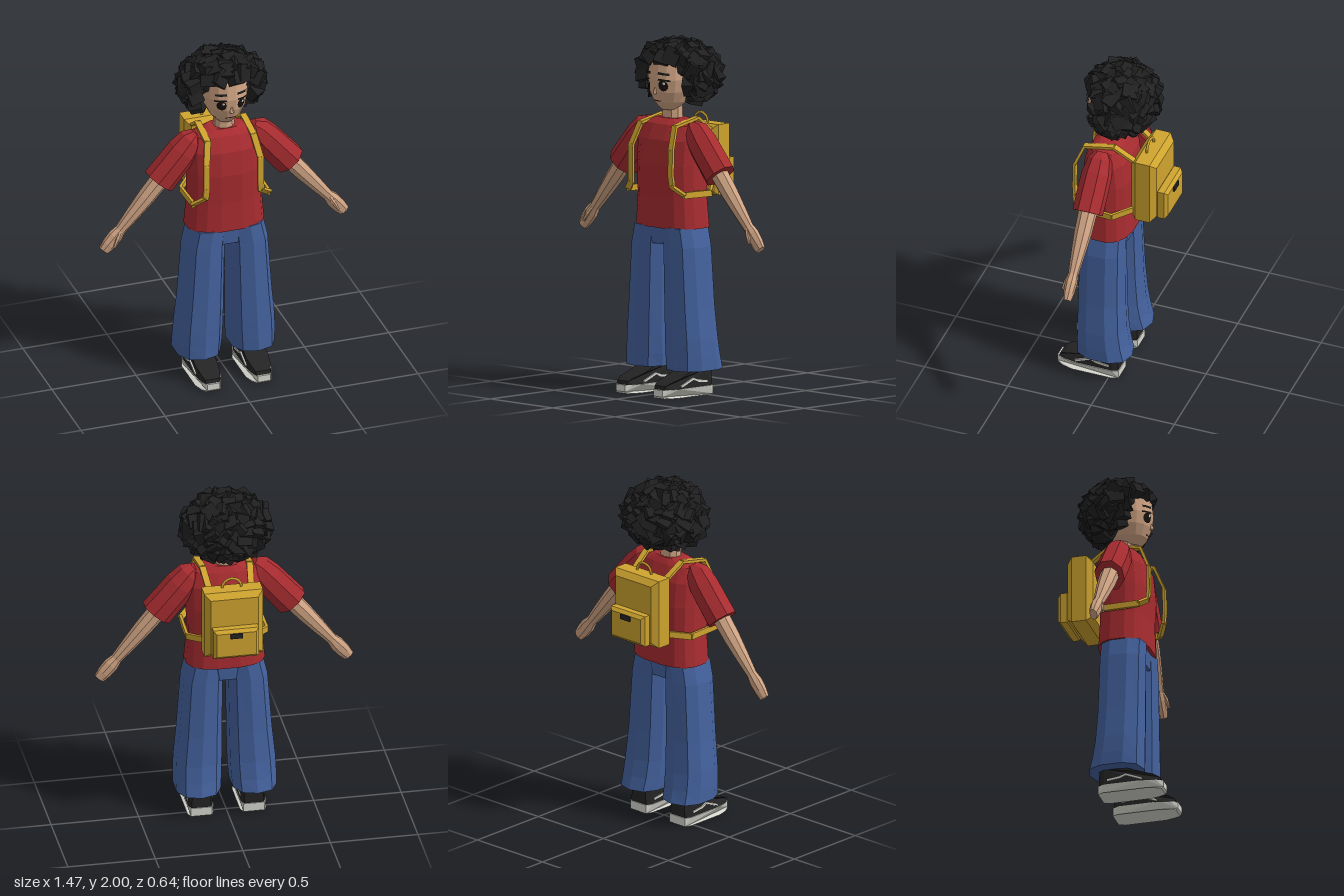
import * as THREE from 'three';
import { mergeGeometries } from 'three/addons/utils/BufferGeometryUtils.js';

const COLORS = {
  skin: 0xd0a484, shirt: 0xa82c30, denim: 0x44629e, canvas: 0xcfa42f, hair: 0x202020,
  shoe: 0x242424, rubber: 0xd6d6ce, eye: 0x17120f, white: 0xf4f4f4, lip: 0x6e3f32,
};

// Faceted copy: every face gets its own normal
function facet(geo) {
  const g = geo.index ? geo.toNonIndexed() : geo;
  g.computeVertexNormals();
  return g;
}

// Stacked super-ellipse rings: rows are [y, centreX, centreZ, radiusX, radiusZ]
function loft(rows, n, p = 2) {
  rows = [...rows].sort((a, b) => a[0] - b[0]);
  const pos = [], idx = [];
  const bend = (v) => Math.sign(v) * Math.abs(v) ** (2 / p);
  for (const [y, cx, cz, rx, rz] of rows) {
    for (let j = 0; j < n; j++) {
      const a = ((j + 0.5) / n) * Math.PI * 2;
      pos.push(cx + rx * bend(Math.cos(a)), y, cz + rz * bend(Math.sin(a)));
    }
  }
  for (let i = 0; i < rows.length - 1; i++) {
    for (let j = 0; j < n; j++) {
      const k = (j + 1) % n, a = i * n + j, b = i * n + k, c = b + n, d = a + n;
      idx.push(a, d, b, b, d, c);
    }
  }
  const last = (rows.length - 1) * n, low = pos.length / 3, high = low + 1;
  for (const r of [rows[0], rows[rows.length - 1]]) pos.push(r[1], r[0], r[2]);
  for (let j = 0; j < n; j++) {
    const k = (j + 1) % n;
    idx.push(low, j, k, high, last + k, last + j);
  }
  const g = new THREE.BufferGeometry();
  g.setAttribute('position', new THREE.Float32BufferAttribute(pos, 3));
  g.setIndex(idx);
  return facet(g);
}

// Flat band of box pieces along a path; each point may carry its own width axis
function band(points, width, thick) {
  const parts = [];
  for (let i = 0; i < points.length - 1; i++) {
    const a = new THREE.Vector3(...points[i]), b = new THREE.Vector3(...points[i + 1]);
    const dir = b.clone().sub(a), len = dir.length();
    dir.normalize();
    const hint = points[i][3] === 'y' ? new THREE.Vector3(0, 1, 0) : new THREE.Vector3(1, 0, 0);
    const up = dir.clone().cross(hint).normalize();
    const side = up.clone().cross(dir);
    const m = new THREE.Matrix4().makeBasis(side, up, dir).setPosition(a.add(b).multiplyScalar(0.5));
    parts.push(new THREE.BoxGeometry(width, thick, len + thick * 0.7).applyMatrix4(m));
  }
  return mergeGeometries(parts);
}

// Box with single chamfers on every edge
function chamferBox(w, h, d, c) {
  const x = w / 2 - c, y = h / 2 - c;
  const s = new THREE.Shape([[-x, -y], [x, -y], [x, y], [-x, y]].map((q) => new THREE.Vector2(...q)));
  const g = new THREE.ExtrudeGeometry(s, { depth: d - 2 * c, bevelSize: c, bevelThickness: c, bevelSegments: 1 });
  return facet(g.translate(0, 0, c - d / 2));
}

const HEAD = [
  [1.605, 0, 0.085, 0.045, 0.045], [1.65, 0, 0.07, 0.09, 0.1], [1.71, 0, 0.065, 0.119, 0.13],
  [1.78, 0, 0.065, 0.132, 0.14], [1.87, 0, 0.06, 0.127, 0.135], [1.94, 0, 0.05, 0.08, 0.085],
];

// Front surface of the head, for laying features on it
function faceZ(x, y) {
  let i = 0;
  while (i < HEAD.length - 2 && y > HEAD[i + 1][0]) i++;
  const t = (y - HEAD[i][0]) / (HEAD[i + 1][0] - HEAD[i][0]);
  const [, , cz, rx, rz] = HEAD[i].map((v, k) => v + (HEAD[i + 1][k] - v) * t);
  return cz + rz * Math.sqrt(Math.max(0, 1 - (x / rx) ** 2));
}
function onFace(geo, lift) {
  const p = geo.attributes.position;
  for (let i = 0; i < p.count; i++) p.setZ(i, faceZ(p.getX(i), p.getY(i)) + lift);
  return facet(geo);
}

// Curls: tumbled blocks spread over an ellipsoid, leaving the face open
function curls() {
  let seed = 7;
  const rnd = () => (seed = (seed * 16807) % 2147483647) / 2147483647;
  const parts = [], n = 170;
  for (let i = 0; i < n; i++) {
    const dy = 1 - (2 * (i + 0.5)) / n, r = Math.sqrt(1 - dy * dy), a = i * 2.39996;
    const x = 0.208 * r * Math.cos(a), y = 1.805 + 0.148 * dy, z = 0.018 + 0.185 * r * Math.sin(a);
    const size = 0.074 + rnd() * 0.018, turn = [rnd() * 3, rnd() * 3, rnd() * 3];
    if (dy < -0.86) continue;
    if (z > 0.055 && y < 1.888 && Math.abs(x) < 0.165) continue;
    if (z > 0.11 && y < 1.83) continue;
    const g = new THREE.BoxGeometry(size, size * 1.1, size * 0.9);
    g.rotateX(turn[0]).rotateY(turn[1]).rotateZ(turn[2]).translate(x, y, z);
    const p = g.attributes.position;
    for (let k = 0; k < p.count; k++) p.setY(k, Math.min(2, p.getY(k)));
    parts.push(g);
  }
  return facet(mergeGeometries(parts));
}

// Shoe pieces: side profile extruded across, then narrowed at toe, heel and top
function shoePart(profile, half, topTaper) {
  const s = new THREE.Shape(profile.map((q) => new THREE.Vector2(...q)));
  const g = new THREE.ExtrudeGeometry(s, { depth: 2 * half, bevelEnabled: false });
  g.translate(0, 0, -half).rotateY(-Math.PI / 2);
  const p = g.attributes.position;
  for (let i = 0; i < p.count; i++) {
    const y = p.getY(i), z = p.getZ(i);
    const toe = z > 0.22 ? 1 - 0.5 * ((z - 0.22) / 0.1) ** 1.6 : 1;
    const heel = z < -0.02 ? 0.8 : 1;
    p.setX(i, p.getX(i) * toe * heel * (1 - topTaper * Math.max(0, y - 0.05)));
  }
  return facet(g);
}

export function createModel() {
  const model = new THREE.Group();
  const mats = {};
  for (const [name, color] of Object.entries(COLORS)) {
    mats[name] = new THREE.MeshStandardMaterial({ color });
    mats[name].name = name;
  }
  const add = (parent, name, geo, mat) => {
    const m = new THREE.Mesh(geo, mats[mat]);
    m.name = name;
    parent.add(m);
    return m;
  };

  // Head and face
  add(model, 'head', loft(HEAD, 16), 'skin');
  add(model, 'neck', loft([[1.53, 0, 0.055, 0.062, 0.058], [1.66, 0, 0.055, 0.058, 0.056]], 10), 'skin');
  add(model, 'nose', new THREE.ConeGeometry(0.014, 0.05, 4).rotateX(-0.12).translate(0, 1.725, 0.196), 'skin');
  add(model, 'mouth', onFace(new THREE.PlaneGeometry(0.062, 0.007, 6, 1).translate(0, 1.66, 0), 0.006), 'lip');
  for (const s of [1, -1]) {
    const flat = (w, h, tilt, x, y) =>
      new THREE.PlaneGeometry(w, h, 4, 1).rotateZ(tilt * s).translate(x * s, y, 0);
    const disc = (r, sx, sy, x, y) => new THREE.CircleGeometry(r, 12).scale(sx, sy, 1).translate(x, y, 0);
    add(model, 'eye', onFace(disc(0.025, 1, 1.25, 0.058 * s, 1.75), 0.006), 'eye');
    add(model, 'eyeGlint', onFace(disc(0.007, 1, 1.2, 0.058 * s + 0.008, 1.763), 0.009), 'white');
    add(model, 'eyelash', onFace(flat(0.062, 0.01, -0.12, 0.064, 1.782), 0.007), 'eye');
    add(model, 'eyebrow', onFace(flat(0.06, 0.013, -0.12, 0.06, 1.817), 0.007), 'hair');
  }

  // Hair
  add(model, 'hairBase', facet(new THREE.IcosahedronGeometry(1, 2).scale(0.185, 0.125, 0.155).translate(0, 1.85, 0.01)), 'hair');
  add(model, 'hairBack', facet(new THREE.IcosahedronGeometry(1, 2).scale(0.175, 0.15, 0.13).translate(0, 1.79, -0.05)), 'hair');
  add(model, 'curls', curls(), 'hair');

  // Shirt and hips
  add(model, 'shirt', loft([
    [0.945, 0, 0.057, 0.228, 0.148], [1.12, 0, 0.06, 0.213, 0.142], [1.3, 0, 0.062, 0.215, 0.145],
    [1.44, 0, 0.064, 0.215, 0.128], [1.525, 0, 0.062, 0.19, 0.09], [1.558, 0, 0.055, 0.095, 0.062],
  ], 16, 2.6), 'shirt');
  add(model, 'hips', loft([[0.85, 0, 0.065, 0.1, 0.115], [0.96, 0, 0.065, 0.15, 0.12]], 12, 3), 'denim');

  for (const s of [1, -1]) {
    const half = new THREE.Group();
    half.name = s > 0 ? 'leftSide' : 'rightSide';
    half.scale.x = s;
    model.add(half);

    // Arm hangs along local -y and swings outward
    const arm = new THREE.Group();
    arm.name = 'arm';
    arm.position.set(0.22, 1.46, 0.063);
    arm.rotation.z = 0.7;
    half.add(arm);
    add(arm, 'sleeve', loft([
      [0.09, 0, 0, 0.035, 0.04], [0.045, 0, 0, 0.078, 0.07], [-0.04, 0, 0, 0.092, 0.086],
      [-0.15, 0, 0, 0.094, 0.088], [-0.26, 0, 0, 0.097, 0.086],
    ], 8), 'shirt');
    add(arm, 'forearm', loft([
      [-0.2, 0, 0, 0.055, 0.055], [-0.38, 0, 0, 0.05, 0.05], [-0.5, 0, 0, 0.042, 0.04], [-0.62, 0, 0, 0.032, 0.028],
    ], 8), 'skin');
    add(arm, 'hand', loft([
      [-0.61, 0, 0, 0.032, 0.028], [-0.66, 0, 0, 0.044, 0.034], [-0.72, 0, 0, 0.042, 0.03], [-0.766, 0, 0, 0.033, 0.022],
    ], 8), 'skin');
    add(arm, 'thumb', loft([
      [-0.62, 0, 0.02, 0.01, 0.01], [-0.66, -0.005, 0.034, 0.014, 0.013], [-0.71, -0.015, 0.045, 0.008, 0.007],
    ], 6), 'skin');

    // Flared trouser leg
    add(half, 'trouserLeg', loft([
      [0.95, 0.11, 0.068, 0.108, 0.132], [0.84, 0.128, 0.068, 0.116, 0.134], [0.5, 0.143, 0.065, 0.126, 0.138],
      [0.32, 0.153, 0.06, 0.134, 0.144], [0.22, 0.157, 0.052, 0.134, 0.152], [0.145, 0.16, 0.042, 0.13, 0.162],
    ], 10, 2.5), 'denim');

    // Shoe
    const shoe = new THREE.Group();
    shoe.name = 'shoe';
    shoe.position.x = 0.15;
    half.add(shoe);
    const tread = [[-0.055, 0], [-0.02, 0], [0.1, 0], [0.22, 0], [0.28, 0], [0.31, 0], [0.32, 0.012],
      [0.32, 0.05], [0.28, 0.05], [0.22, 0.05], [0.1, 0.05], [-0.02, 0.05], [-0.055, 0.05]];
    add(shoe, 'sole', shoePart(tread, 0.075, 0), 'rubber');
    add(shoe, 'shoeUpper', shoePart([[-0.05, 0.049], [-0.018, 0.049], [0.2, 0.049], [0.27, 0.049], [0.308, 0.049],
      [0.302, 0.07], [0.27, 0.088], [0.2, 0.108], [0.12, 0.14], [-0.018, 0.15], [-0.05, 0.14]], 0.07, 1.1), 'shoe');
    for (const e of [1, -1]) {
      add(shoe, 'sideStripe', band([[0.2, 0.064], [0.11, 0.1], [0.075, 0.085], [0.005, 0.076]]
        .map(([z, y]) => [e * 0.068, y, z]), 0.009, 0.012), 'rubber');
    }

    // Shoulder strap, over the shoulder and back under the arm
    add(half, 'strap', band([
      [0.12, 1.48, -0.12], [0.135, 1.56, 0], [0.137, 1.525, 0.175], [0.16, 1.4, 0.226], [0.16, 1.25, 0.228],
      [0.165, 1.19, 0.222], [0.225, 1.145, 0.185, 'y'], [0.228, 1.14, -0.02, 'y'], [0.14, 1.16, -0.12],
    ], 0.036, 0.016), 'canvas');
  }

  // Backpack
  const pack = new THREE.Group();
  pack.name = 'backpack';
  model.add(pack);
  add(pack, 'packBody', chamferBox(0.335, 0.4, 0.15, 0.032).translate(0, 1.31, -0.18), 'canvas');
  add(pack, 'packPocket', chamferBox(0.26, 0.18, 0.075, 0.018).translate(0, 1.22, -0.278), 'canvas');
  add(pack, 'buckle', new THREE.BoxGeometry(0.07, 0.03, 0.014).translate(0, 1.277, -0.318), 'shoe');
  add(pack, 'carryHandle', new THREE.TorusGeometry(0.055, 0.008, 5, 8, Math.PI).translate(0, 1.508, -0.165), 'canvas');
  return model;
}
